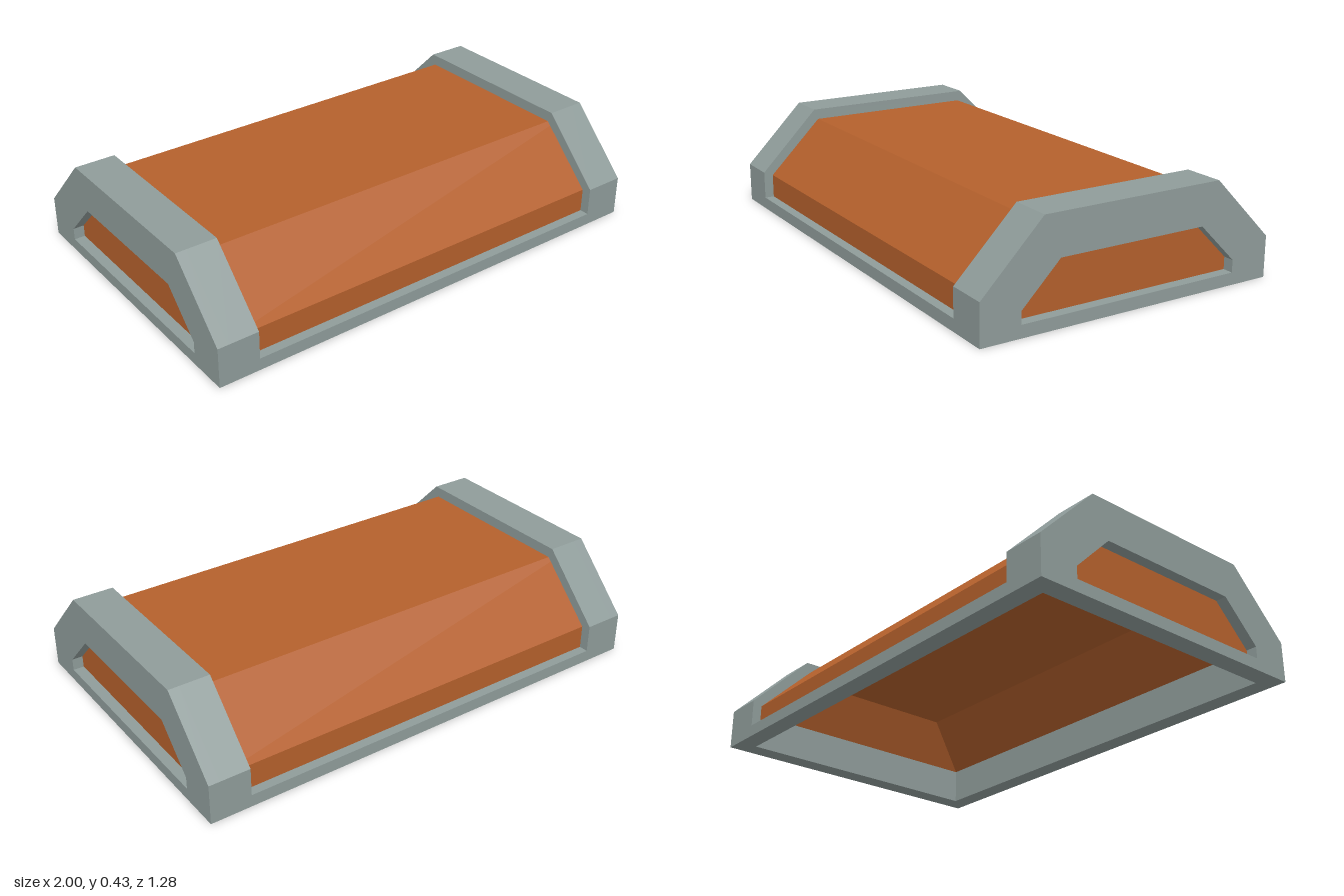
import * as THREE from 'three';

const grey = new THREE.MeshStandardMaterial({ color: 0x8f9c9a, flatShading: true });
const orange = new THREE.MeshStandardMaterial({ color: 0xb4602c, flatShading: true });

// Half outlines [z, y] of the chamfered section, mirrored to full outlines
const OUTER = [[0.64, 0.05], [0.64, 0.167], [0.385, 0.425]];
const COVER = [[0.6, 0.05], [0.6, 0.15], [0.368, 0.38]];
const WINDOW = [[0.475, 0.05], [0.475, 0.1], [0.315, 0.26]];
const full = (half) => [...half, ...half.map(([z, y]) => [-z, y]).reverse()];

// U-shaped arch plate between two outlines, standing across x from x0 to x1
function archPlate(outer, inner, x0, x1) {
  const points = [...full(outer), ...full(inner).reverse()];
  const shape = new THREE.Shape(points.map(([z, y]) => new THREE.Vector2(-z, y)));
  const geometry = new THREE.ExtrudeGeometry(shape, { depth: x1 - x0, bevelEnabled: false });
  return geometry.rotateY(Math.PI / 2).translate(x0, 0, 0);
}

// Walls through rectangular rings [y, halfX, halfZ], optionally closed at the last ring
function rectLoft(rings, closed, inward) {
  const positions = [];
  const corner = ([y, x, z], i) => [[x, y, z], [x, y, -z], [-x, y, -z], [-x, y, z]][i % 4];
  const quad = (a, b, c, d) => {
    const order = inward ? [a, c, b, a, d, c] : [a, b, c, a, c, d];
    positions.push(...order.flat());
  };
  for (let r = 0; r < rings.length - 1; r++) {
    for (let i = 0; i < 4; i++) {
      quad(corner(rings[r], i), corner(rings[r], i + 1), corner(rings[r + 1], i + 1), corner(rings[r + 1], i));
    }
  }
  if (closed) quad(...[0, 1, 2, 3].map((i) => corner(rings[rings.length - 1], i)));
  const geometry = new THREE.BufferGeometry();
  geometry.setAttribute('position', new THREE.Float32BufferAttribute(positions, 3));
  geometry.computeVertexNormals();
  return geometry;
}

export function createModel() {
  const model = new THREE.Group();
  const add = (name, geometry, material, parent = model) => {
    const mesh = new THREE.Mesh(geometry, material);
    mesh.name = name;
    parent.add(mesh);
  };
  const rectangle = (Type, x, z) => new Type([[-x, -z], [x, -z], [x, z], [-x, z]].map((p) => new THREE.Vector2(...p)));

  // Open rectangular base rail
  const rail = rectangle(THREE.Shape, 1, 0.64);
  rail.holes.push(rectangle(THREE.Path, 0.92, 0.56));
  add('baseRail', new THREE.ExtrudeGeometry(rail, { depth: 0.05, bevelEnabled: false }).rotateX(-Math.PI / 2), grey);

  // End arches: a deep rim over the cover and a windowed face plate
  for (const [side, name] of [[1, 'leftArch'], [-1, 'rightArch']]) {
    const arch = new THREE.Group();
    arch.name = name;
    add('archRim', archPlate(OUTER, COVER, 0.83, 0.955), grey, arch);
    add('archFace', archPlate(OUTER, WINDOW, 0.955, 1), grey, arch);
    if (side < 0) arch.rotation.y = Math.PI;
    model.add(arch);
  }

  // Chamfered cover, its hollow underside and the lower lining
  add('cover', rectLoft([[0.05, 0.955, 0.6], [0.15, 0.955, 0.6], [0.38, 0.955, 0.368]], true, false), orange);
  add('coverUnderside', rectLoft([[0.15, 0.92, 0.56], [0.34, 0.84, 0.37]], true, true), orange);
  add('innerLining', rectLoft([[0.05, 0.92, 0.56], [0.15, 0.92, 0.56]], false, true), grey);

  return model;
}
